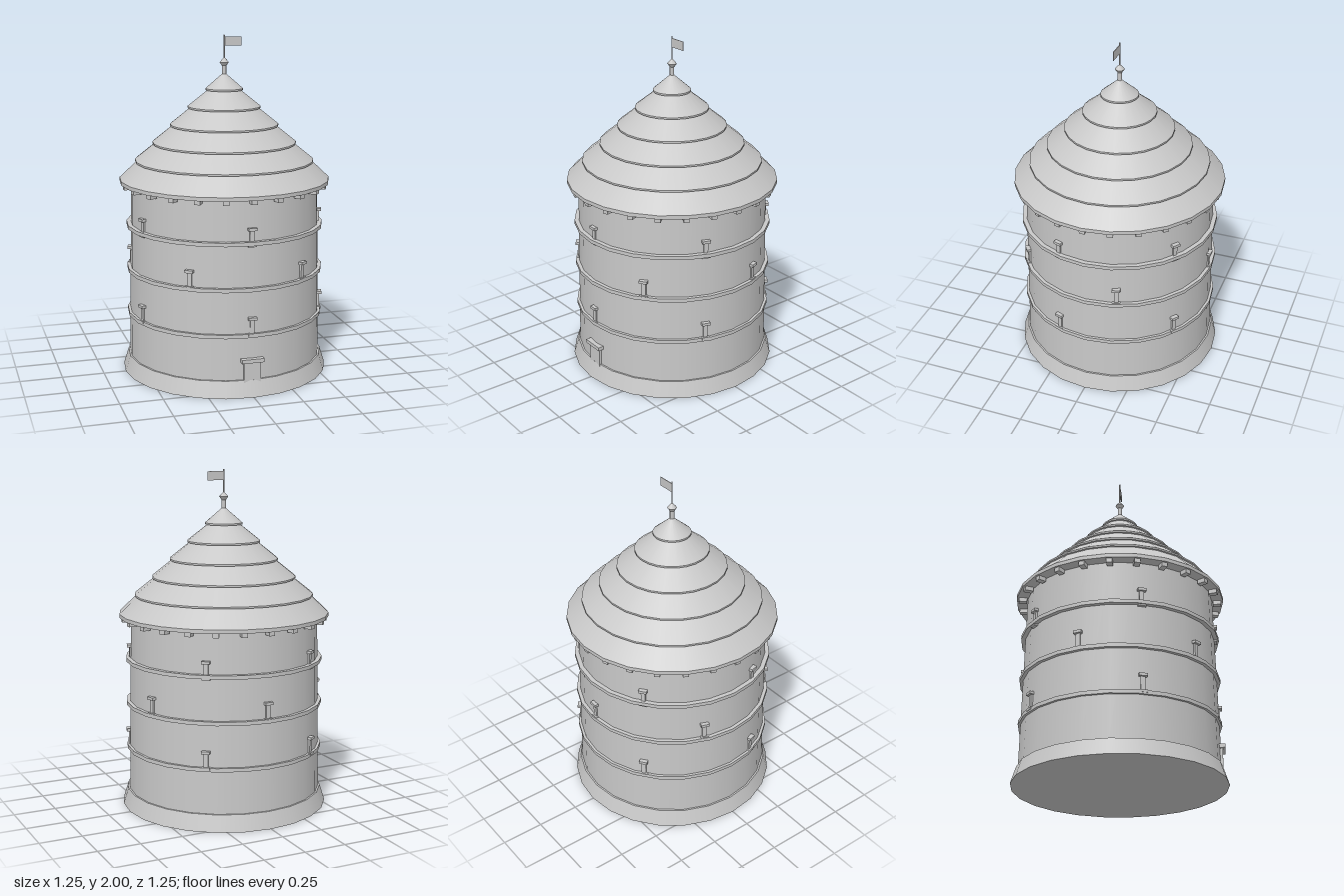
import * as THREE from 'three';

const SIDES = 24;

export function createModel() {
  const model = new THREE.Group();
  model.name = 'tower';
  const stone = new THREE.MeshStandardMaterial({ color: 0xc8c8c8 });
  stone.name = 'pale grey stone';

  const add = (name, geometry, parent = model) => {
    const mesh = new THREE.Mesh(geometry, stone);
    mesh.name = name;
    parent.add(mesh);
    return mesh;
  };
  // Frustum between two heights
  const drum = (name, r0, r1, y0, y1, sides = SIDES) => {
    const mesh = add(name, new THREE.CylinderGeometry(r1, r0, y1 - y0, sides));
    mesh.position.y = (y0 + y1) / 2;
    return mesh;
  };
  // Box spanning y0..y1 and z0..z1, centred on x
  const block = (name, w, y0, y1, z0, z1, parent) => {
    const mesh = add(name, new THREE.BoxGeometry(w, y1 - y0, z1 - z0), parent);
    mesh.position.set(0, (y0 + y1) / 2, (z0 + z1) / 2);
    return mesh;
  };
  // Group turned around the tower axis
  const around = (name, angle) => {
    const group = new THREE.Group();
    group.name = name;
    group.rotation.y = angle;
    model.add(group);
    return group;
  };

  // Walls
  drum('plinth', 0.617, 0.587, 0, 0.095);
  drum('wall', 0.577, 0.556, 0.09, 1.145);
  for (const y of [0.356, 0.624, 0.888]) drum('band', 0.587, 0.587, y - 0.011, y + 0.011);

  // Arrow slits, five to a row, with the middle row staggered
  [[0.355, 0], [0.625, 0.5], [0.868, 0]].forEach(([y, shift]) => {
    const r = 0.579 - 0.02 * y;
    for (let i = 0; i < 5; i++) {
      const slit = around('arrowSlit', ((i + shift) * Math.PI * 2) / 5);
      block('slitPanel', 0.026, y + 0.01, y + 0.095, 0.53, r + 0.005, slit);
      block('slitLintel', 0.048, y + 0.092, y + 0.108, 0.53, r + 0.018, slit);
      block('slitSill', 0.048, y, y + 0.014, 0.53, r + 0.014, slit);
    }
  });

  // Door
  block('door', 0.1, 0.05, 0.205, 0.53, 0.585);
  block('doorLintel', 0.132, 0.2, 0.222, 0.53, 0.6);

  // Corbels under the eave
  for (let i = 0; i < SIDES; i++) {
    const corbel = around('corbel', (i * Math.PI * 2) / SIDES);
    block('corbelBlock', 0.034, 1.115, 1.142, 0.562, 0.61, corbel);
  }

  // Roof in overlapping tiers, each with a thin vertical lip
  const tiers = [[0.623, 1.14, 1.162], [0.53, 1.262, 1.272], [0.425, 1.366, 1.376],
    [0.32, 1.471, 1.481], [0.215, 1.576, 1.586], [0.11, 1.68, 1.69]];
  tiers.forEach(([r, y0, y1], i) => {
    const next = tiers[i + 1];
    drum('roofLip', r, r, y0, y1);
    if (next) drum('roofTier', r, next[0] - 0.013, y1, next[1]);
    else {
      const tip = add('roofTip', new THREE.ConeGeometry(r, 1.785 - y1, SIDES));
      tip.position.y = (1.785 + y1) / 2;
    }
  });

  // Finial, pole and flag
  drum('finialNeck', 0.013, 0.013, 1.765, 1.825, 8);
  drum('finialLower', 0.014, 0.028, 1.822, 1.842, 8);
  drum('finialUpper', 0.028, 0.004, 1.842, 1.868, 8);
  drum('flagPole', 0.004, 0.004, 1.86, 2, 6);
  const flag = add('flag', new THREE.BoxGeometry(0.105, 0.052, 0.004));
  flag.position.set(0.0525, 1.963, 0);

  return model;
}
